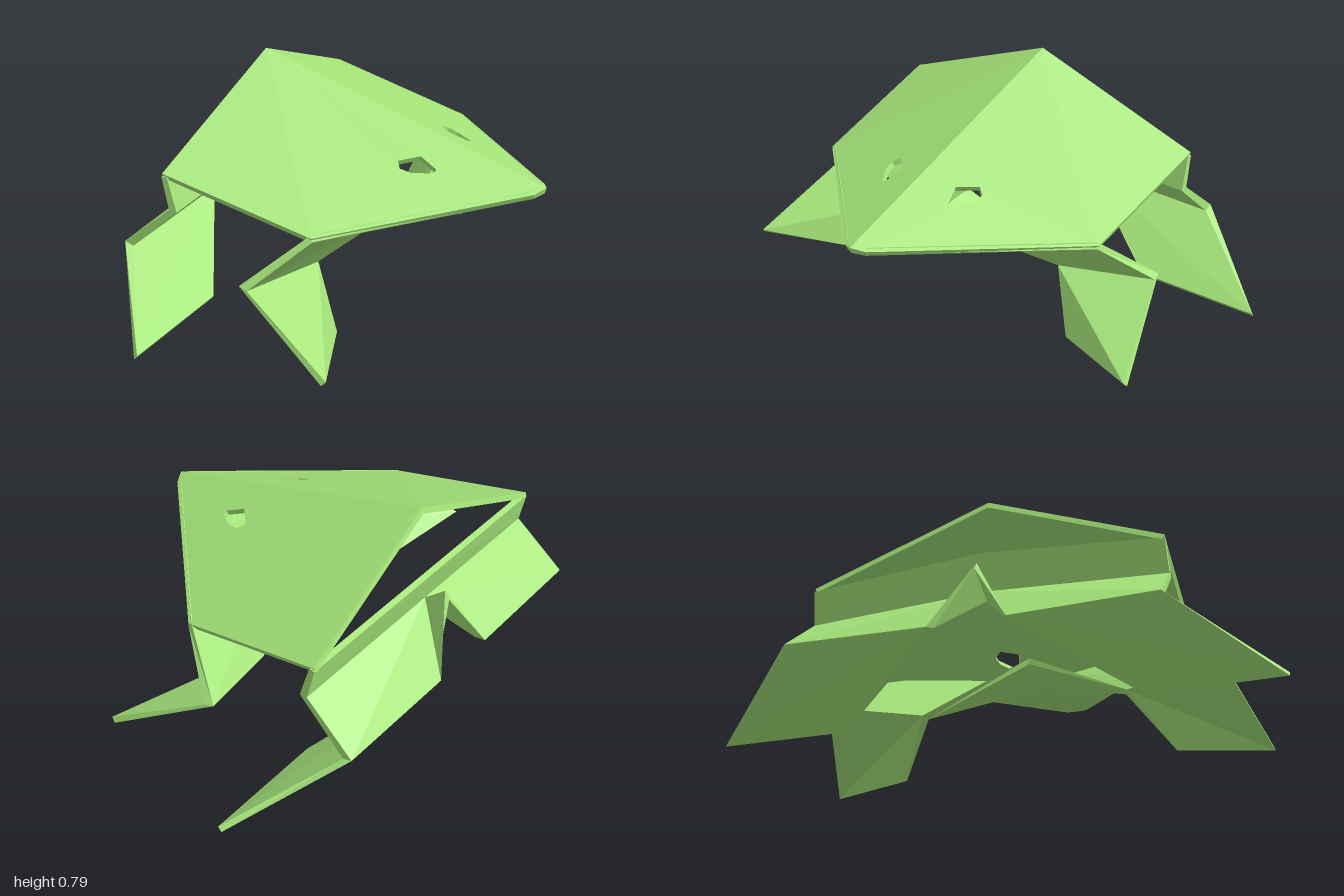
import * as THREE from 'three';

const HALF = 0.011; // half the sheet thickness
const material = new THREE.MeshStandardMaterial({ color: 0xa6e67a, flatShading: true, side: THREE.DoubleSide });

// Splits a polygon of point names into a fan of triangles
const fan = (names) => names.slice(2).map((n, i) => [names[0], names[i + 1], n]);

// Mirrors half a folded sheet over z = 0 and gives it thickness with mitred folds
function foldedSheet(name, half, halfFaces) {
  const pts = [], left = {}, right = {};
  for (const [key, [x, y, z]] of Object.entries(half)) {
    left[key] = pts.push(new THREE.Vector3(x, y, z)) - 1;
    right[key] = z === 0 ? left[key] : pts.push(new THREE.Vector3(x, y, -z)) - 1;
  }
  const faces = halfFaces.flatMap(([a, b, c]) => [
    [left[a], left[b], left[c]],
    [right[a], right[c], right[b]],
  ]);
  const normals = faces.map(([a, b, c]) =>
    new THREE.Triangle(pts[a], pts[b], pts[c]).getNormal(new THREE.Vector3()));

  const offsets = pts.map((p, i) => {
    const near = normals.filter((n, f) => faces[f].includes(i));
    const sum = near.reduce((s, n) => s.add(n), new THREE.Vector3()).normalize();
    const fit = Math.min(...near.map((n) => n.dot(sum)));
    return sum.multiplyScalar(HALF / Math.max(0.6, fit));
  });
  const top = pts.map((p, i) => p.clone().add(offsets[i]));
  const bottom = pts.map((p, i) => p.clone().sub(offsets[i]));

  const edges = new Set(faces.flatMap(([a, b, c]) => [`${a}>${b}`, `${b}>${c}`, `${c}>${a}`]));
  const out = [];
  for (const [a, b, c] of faces) {
    out.push(top[a], top[b], top[c], bottom[a], bottom[c], bottom[b]);
    // Walls along open edges
    for (const [u, v] of [[a, b], [b, c], [c, a]]) {
      if (edges.has(`${v}>${u}`)) continue;
      out.push(top[v], top[u], bottom[u], top[v], bottom[u], bottom[v]);
    }
  }
  const geometry = new THREE.BufferGeometry().setFromPoints(out);
  geometry.computeVertexNormals();
  const mesh = new THREE.Mesh(geometry, material);
  mesh.name = name;
  return mesh;
}

// Roofed back with an eye hole cut in each slope
function backShell() {
  const slope = (x, z) => 0.79 - 0.289 * (x + 0.47) - 0.384 * z;
  const outline = [[-0.47, 0], [0.66, 0], [0.635, 0.045], [0.065, 0.605]];
  const eye = [[0.17, 0.175], [0.19, 0.2], [0.23, 0.195], [0.3, 0.155], [0.3, 0.135], [0.23, 0.115]];
  const all = [...outline, ...eye];
  const points = {};
  all.forEach(([x, z], i) => { points['p' + i] = [x, slope(x, z), z]; });
  points.rear = [-0.51, 0.53, 0.63];

  const toV2 = (list) => list.map(([x, z]) => new THREE.Vector2(x, z));
  const faces = THREE.ShapeUtils.triangulateShape(toV2(outline), [toV2(eye)]).map(([a, b, c]) => {
    const turn = (all[b][0] - all[a][0]) * (all[c][1] - all[a][1])
               - (all[b][1] - all[a][1]) * (all[c][0] - all[a][0]);
    return (turn < 0 ? [a, b, c] : [a, c, b]).map((i) => 'p' + i);
  });
  faces.push(['p0', 'rear', 'p3']);
  return foldedSheet('backShell', points, faces);
}

export function createModel() {
  const group = new THREE.Group();
  group.name = 'foldedFrog';
  group.add(backShell());

  // Chin folded under the nose, running into thighs and feet
  group.add(foldedSheet('chinAndFrontLegs', {
    nose: [0.65, 0.465, 0],
    noseSide: [0.625, 0.46, 0.045],
    corner: [0.065, 0.41, 0.605],
    chin: [0.2, 0.38, 0],
    tuck: [0.0, 0.39, 0],
    kneeIn: [-0.06, 0.19, 0.38],
    kneeOut: [-0.13, 0.235, 0.735],
    footIn: [0.1, 0.012, 0.52],
    footOut: [0.24, 0.03, 0.845],
  }, [
    ...fan(['chin', 'nose', 'noseSide', 'corner']),
    ...fan(['chin', 'corner', 'kneeOut', 'kneeIn']),
    ['chin', 'kneeIn', 'tuck'],
    ...fan(['kneeIn', 'kneeOut', 'footOut', 'footIn']),
  ]));

  // Rear flap, hind thighs with a centre tuck, and hind feet
  group.add(foldedSheet('rearFlapAndHindLegs', {
    flapTop: [-0.525, 0.565, 0],
    flapCorner: [-0.5, 0.53, 0.635],
    hip: [-0.468, 0.405, 0.64],
    hipMid: [-0.485, 0.42, 0],
    tuck: [-0.59, 0.485, 0],
    kneeIn: [-0.66, 0.24, 0.13],
    kneeOut: [-0.66, 0.24, 0.65],
    footIn: [-0.4, 0.025, 0.53],
    footOut: [-0.4, 0.028, 0.995],
  }, [
    ...fan(['flapTop', 'flapCorner', 'hip', 'hipMid']),
    ...fan(['hipMid', 'hip', 'kneeOut', 'kneeIn']),
    ['hipMid', 'kneeIn', 'tuck'],
    ...fan(['kneeIn', 'kneeOut', 'footOut', 'footIn']),
  ]));

  return group;
}
